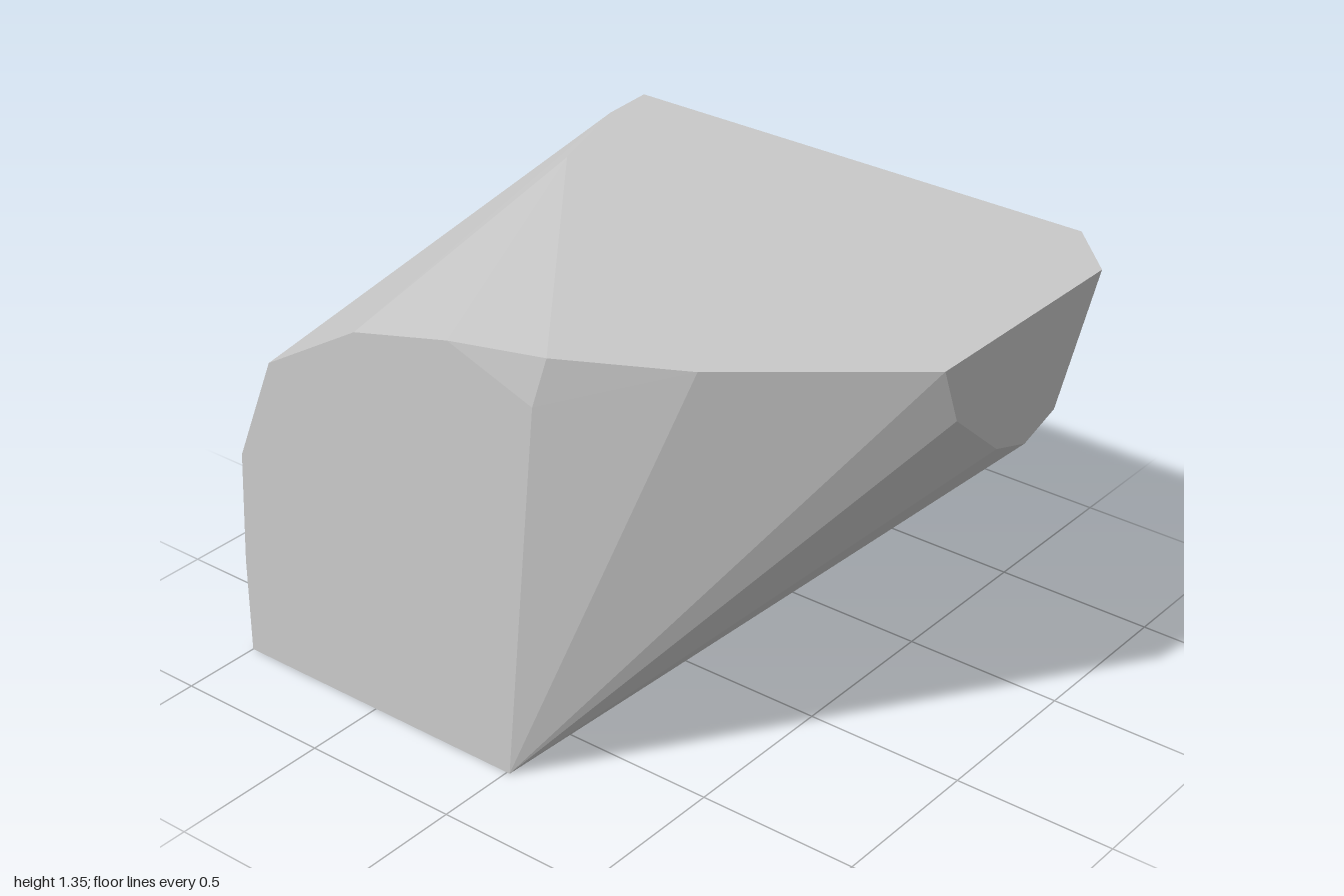
import * as THREE from 'three';
import { ConvexGeometry } from 'three/addons/geometries/ConvexGeometry.js';

// Faceted overhanging boulder: the convex hull of its corner rings.
export function createModel() {
  const stone = new THREE.MeshStandardMaterial({ color: 0xc9c9c9 });
  stone.name = 'light stone grey';

  const corners = [];
  const add = (...points) => points.forEach(p => corners.push(new THREE.Vector3(...p)));

  // square foot and upright left wall, shared by front and back
  for (const z of [0.75, -0.75]) {
    add([-1, 0, z], [0.01, 0, z], [-1, 0.31, z]);
  }
  // rounded shoulder of the front face
  add([-0.98, 0.67, 0.75], [-0.84, 1.01, 0.75], [-0.5, 1.215, 0.75], [-0.16, 1.3, 0.75], [0.13, 1.2, 0.75]);
  // back face
  add([-0.985, 0.68, -0.75], [-0.902, 1.01, -0.75], [0.74, 1.01, -0.75]);
  // flat top outline
  for (const [x, z] of [[-0.72, -0.75], [0.83, -0.75], [1, -0.58], [1, 0.165],
    [0.515, 0.555], [0.17, 0.735], [-0.6, -0.25], [-0.71, -0.58]]) add([x, 1.35, z]);
  // lower edge of the overhanging right end, with its chamfered back corner
  add([1, 1.18, 0.1], [1, 1.01, -0.1], [1, 0.965, -0.24], [1, 1.01, -0.38], [0.91, 1.01, -0.58]);

  const boulder = new THREE.Mesh(new ConvexGeometry(corners), stone);
  boulder.name = 'boulder';

  const group = new THREE.Group();
  group.name = 'rock';
  group.add(boulder);
  return group;
}
